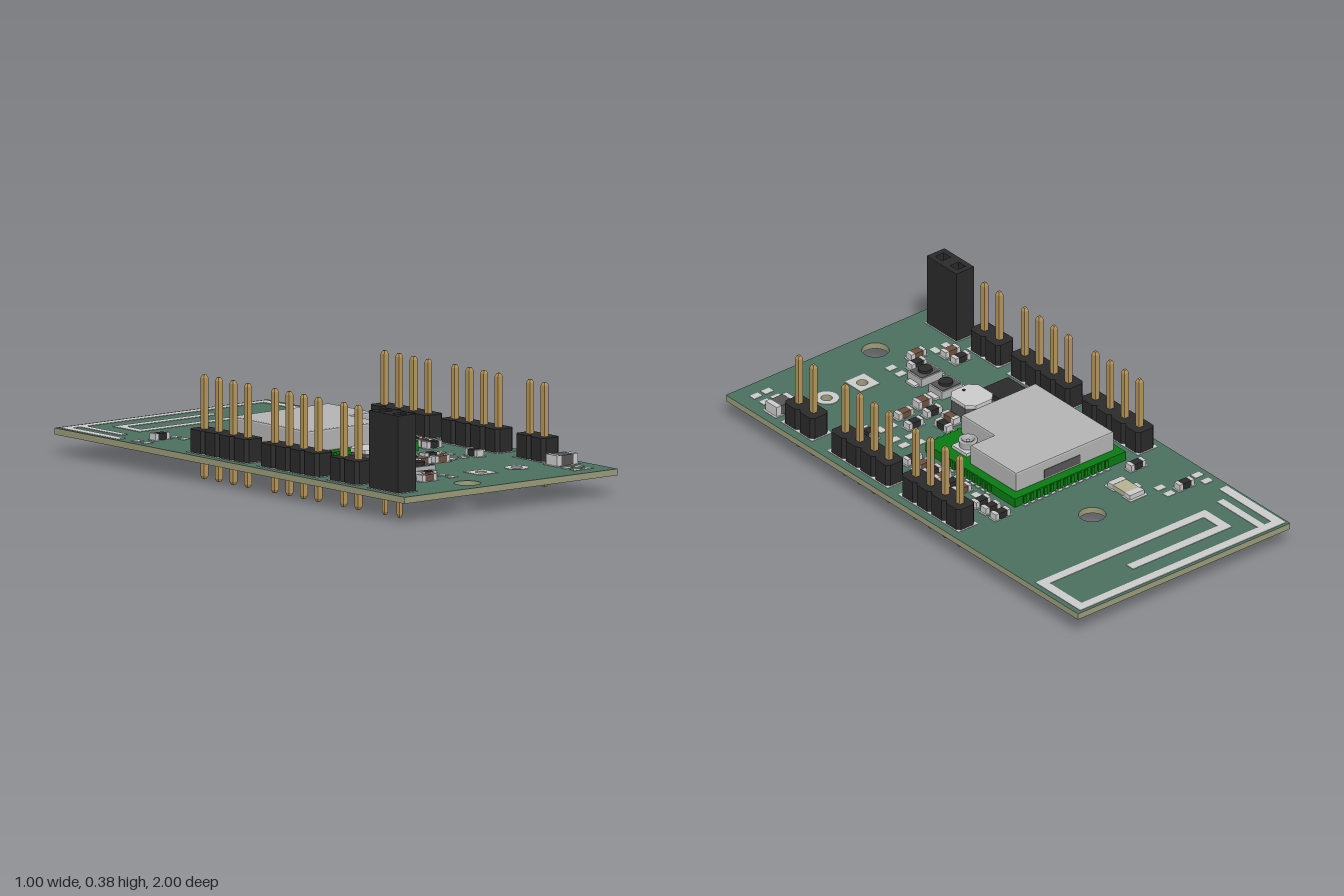
import * as THREE from 'three';

const mat = (color) => new THREE.MeshStandardMaterial({ color });
const M = {
  mask: mat(0x4a7060), core: mat(0x9c9c7a), metal: mat(0xcccccc), silver: mat(0xb4b4b4), black: mat(0x2a2a2a),
  dark: mat(0x151515), grey: mat(0x555555), gold: mat(0xb8975a), green: mat(0x0a7a12), brown: mat(0x6b5040), beige: mat(0xb5b293),
};
const BOT = 0.08, TOP = 0.104;

export function createModel() {
  const root = new THREE.Group();
  const add = (parent, name, geo, m, x = 0, y = 0, z = 0) => {
    const mesh = new THREE.Mesh(geo, m);
    mesh.name = name;
    mesh.position.set(x, y, z);
    parent.add(mesh);
    return mesh;
  };
  const group = (name, x = 0, z = 0, parent = root) => {
    const g = new THREE.Group();
    g.name = name;
    g.position.set(x, 0, z);
    parent.add(g);
    return g;
  };
  // Box standing on height y0
  const box = (parent, name, m, x, z, w, d, y0, y1) =>
    add(parent, name, new THREE.BoxGeometry(w, y1 - y0, d), m, x, (y0 + y1) / 2, z);
  const disc = (parent, name, m, x, z, r, y0, y1, n = 24) =>
    add(parent, name, new THREE.CylinderGeometry(r, r, y1 - y0, n), m, x, (y0 + y1) / 2, z);
  // Outline from x,z corners, and its upright extrusion
  const outline = (pts) => new THREE.Shape(pts.map(([x, z]) => new THREE.Vector2(x, -z)));
  const rect = (w, d, c = 0) => outline(c
    ? [[-w / 2 + c, d / 2], [w / 2 - c, d / 2], [w / 2, d / 2 - c], [w / 2, c - d / 2],
      [w / 2 - c, -d / 2], [c - w / 2, -d / 2], [-w / 2, c - d / 2], [-w / 2, d / 2 - c]]
    : [[-w / 2, d / 2], [w / 2, d / 2], [w / 2, -d / 2], [-w / 2, -d / 2]]);
  const hole = (shape, x, z, r) => shape.holes.push(new THREE.Path().absarc(x, -z, r, 0, Math.PI * 2, true));
  const slab = (parent, name, shape, m, y0, y1, x = 0, z = 0, bevel = 0) => {
    const geo = new THREE.ExtrudeGeometry(shape, {
      depth: y1 - y0 - 2 * bevel, curveSegments: 16, bevelEnabled: bevel > 0,
      bevelSize: bevel, bevelThickness: bevel, bevelOffset: -bevel, bevelSegments: 2,
    });
    geo.translate(0, 0, bevel).rotateX(-Math.PI / 2);
    return add(parent, name, geo, m, x, y0, z);
  };

  // Circuit board with mounting and wire holes
  const board = rect(1, 2);
  [[0.013, -0.495, 0.05], [-0.12, 0.897, 0.05], [0.065, 0.749, 0.021], [0.233, 0.749, 0.021]]
    .forEach((h) => hole(board, ...h));
  slab(root, 'circuitBoard', board, [M.mask, M.core], BOT, TOP);

  // Wire pads, one square and one round, on both faces
  const squarePad = rect(0.09, 0.09), roundPad = new THREE.Shape().absarc(0, 0, 0.045, 0, Math.PI * 2);
  [[squarePad, 0.065], [roundPad, 0.233]].forEach(([s, x]) => {
    hole(s, 0, 0, 0.021);
    slab(root, 'wirePadTop', s, M.metal, TOP, TOP + 0.002, x, 0.749);
    slab(root, 'wirePadBottom', s, M.metal, BOT - 0.002, BOT, x, 0.749);
  });

  // Folded antenna trace: x0, x1, z0, z1
  const antenna = group('antennaTrace');
  [[-0.489, -0.452, -0.95, -0.653], [-0.489, 0.479, -0.987, -0.95], [0.442, 0.479, -0.95, -0.77],
    [-0.32, 0.479, -0.77, -0.733], [-0.32, -0.283, -0.849, -0.77], [-0.32, 0.146, -0.886, -0.849],
    [-0.42, -0.389, -0.95, -0.717]].forEach(([a, b, c, d]) =>
    box(antenna, 'antennaSegment', M.metal, (a + b) / 2, (c + d) / 2, b - a, d - c, TOP, TOP + 0.002));

  // Pin headers
  const pin = (parent, z, y0, y1, r = 0.0145) => {
    const tip = 0.012;
    const pts = [[0, y0], [r * 0.5, y0], [r, y0 + tip], [r, y1 - tip], [r * 0.5, y1], [0, y1]];
    const geo = new THREE.LatheGeometry(pts.map((p) => new THREE.Vector2(...p)), 4, Math.PI / 4).toNonIndexed();
    geo.computeVertexNormals();
    add(parent, 'pin', geo, M.gold, 0, 0, z);
    disc(parent, 'solderPad', M.metal, 0, z, 0.026, BOT - 0.002, BOT, 16);
  };
  const PITCH = 0.083;
  const header = (x, z, n) => {
    const g = group('pinHeader', x, z);
    box(g, 'headerOutline', M.metal, 0, 0, 0.093, n * PITCH + 0.012, TOP, TOP + 0.0015);
    for (let i = 0; i < n; i++) {
      const pz = (i - (n - 1) / 2) * PITCH;
      slab(g, 'headerBlock', rect(PITCH, PITCH, 0.013), M.black, TOP, 0.191, 0, pz);
      pin(g, pz, 0.006, 0.39);
    }
  };
  for (const x of [-0.425, 0.421]) {
    header(x, -0.11, 4);
    header(x, 0.292, 4);
  }
  header(-0.425, 0.603, 2);
  header(0.421, 0.638, 2);

  // Tall two-way socket with square openings
  const socket = group('socket', -0.425, 0.839);
  const shell = rect(0.083, 0.168);
  for (const z of [-0.042, 0.042]) {
    const s = 0.02;
    shell.holes.push(new THREE.Path([[-s, z - s], [s, z - s], [s, z + s], [-s, z + s]]
      .map(([a, b]) => new THREE.Vector2(a, b))));
    pin(socket, z, 0.006, 0.2, 0.011);
  }
  slab(socket, 'socketShell', shell, M.black, 0.2, 0.389);
  box(socket, 'socketBase', M.black, 0, 0, 0.083, 0.168, TOP, 0.2);
  box(socket, 'socketOutline', M.metal, 0, 0, 0.093, 0.178, TOP, TOP + 0.0015);

  // Radio module: carrier, edge pads, shield and antenna connector
  const radio = group('radioModule');
  box(radio, 'carrier', M.green, -0.063, -0.024, 0.523, 0.508, TOP, 0.14);
  const edgePads = (n, x, z, dx, dz) => {
    for (let i = 0; i < n; i++) {
      const px = x + i * dx, pz = z + i * dz;
      box(radio, 'edgePad', M.metal, px, pz, dx ? 0.02 : 0.026, dz ? 0.02 : 0.026, TOP, TOP + 0.003);
      box(radio, 'edgeContact', M.green, px, pz, dx ? 0.014 : 0.006, dz ? 0.014 : 0.006, TOP, 0.139);
    }
  };
  edgePads(13, -0.23, -0.282, 0.032, 0);
  edgePads(3, -0.23, 0.234, 0.032, 0);
  edgePads(5, 0.005, 0.234, 0.032, 0);
  edgePads(5, -0.329, -0.01, 0, 0.027);
  edgePads(9, 0.202, -0.138, 0, 0.029);
  const can = outline([[-0.294, 0.198], [0.055, 0.198], [0.055, 0.013], [0.167, 0.013], [0.167, -0.246], [-0.294, -0.246]]);
  slab(radio, 'shield', can, M.silver, 0.14, 0.222, 0, 0, 0.007);
  box(radio, 'shieldSlot', M.grey, -0.05, -0.2465, 0.17, 0.003, 0.15, 0.185);
  const coax = group('coaxConnector', 0.103, 0.103, radio);
  box(coax, 'coaxBase', M.metal, 0, 0, 0.084, 0.084, 0.14, 0.153);
  const ring = [[0.022, 0.153], [0.022, 0.183], [0.034, 0.183], [0.037, 0.179], [0.032, 0.17], [0.032, 0.153]];
  add(coax, 'coaxRing', new THREE.LatheGeometry(ring.reverse().map((p) => new THREE.Vector2(...p)), 32),
    new THREE.MeshStandardMaterial({ color: 0xb4b4b4, side: THREE.DoubleSide }));
  disc(coax, 'coaxCentre', M.metal, 0, 0, 0.008, 0.153, 0.176, 12);

  // Controller chip with leads on four sides
  const chip = group('controllerChip', -0.278, 0.347);
  box(chip, 'chipBody', M.black, 0, 0, 0.122, 0.122, TOP, 0.132);
  for (let i = 0; i < 5; i++) {
    const t = (i - 2) * 0.024;
    box(chip, 'chipLead', M.metal, t, 0, 0.012, 0.142, TOP, TOP + 0.004);
    box(chip, 'chipLead', M.metal, 0, t, 0.142, 0.012, TOP, TOP + 0.004);
  }

  // Power inductor
  const coil = group('inductor', -0.122, 0.352);
  slab(coil, 'inductorBase', rect(0.13, 0.13, 0.025), M.grey, TOP, 0.15);
  slab(coil, 'inductorTop', rect(0.132, 0.138, 0.028), M.metal, 0.15, 0.166, 0, 0, 0.003);
  disc(coil, 'inductorMark', M.black, 0, 0.045, 0.007, 0.166, 0.167, 12);

  // Push buttons
  for (const z of [0.51, 0.627]) {
    const b = group('pushButton', -0.13, z);
    box(b, 'buttonBody', M.silver, 0, 0, 0.1, 0.078, TOP, 0.137);
    box(b, 'buttonFrame', M.grey, 0, 0, 0.088, 0.068, 0.137, 0.139);
    disc(b, 'buttonCap', M.black, 0, 0, 0.026, 0.139, 0.15);
    for (const s of [-1, 1]) box(b, 'buttonTab', M.metal, s * 0.06, 0, 0.024, 0.05, TOP, 0.112);
  }

  // Two-terminal chips; no body material leaves bare pads
  const passive = (x, z, body, upright = false, l = 0.074, w = 0.036, h = 0.026) => {
    const g = group(body ? 'chipPart' : 'barePads', x, z);
    if (upright) g.rotation.y = Math.PI / 2;
    for (const s of [-1, 1]) {
      box(g, 'solderLand', M.metal, s * l * 0.36, 0, l * 0.38, w * 1.06, TOP, TOP + 0.002);
      if (body) box(g, 'terminal', M.metal, s * l * 0.37, 0, l * 0.2, w * 0.9, TOP, TOP + h);
    }
    if (body) box(g, 'partBody', body, 0, 0, l * 0.54, w * 0.86, TOP, TOP + h - 0.001);
  };
  // Column beside the radio module
  [M.black, M.black, M.black, null, M.brown, M.black, M.brown, M.black, M.brown, M.black]
    .forEach((m, i) => passive(0.278, -0.292 + i * 0.0556, m));
  // Scattered parts laid along x
  [[-0.368, -0.558, M.black], [-0.32, -0.341, M.black], [0.008, 0.421, M.black], [0.114, 0.397, M.black],
    [0.098, 0.474, M.brown], [0.199, 0.452, null], [-0.31, 0.643, M.black], [-0.31, 0.701, M.brown],
    [-0.31, 0.754, null], [-0.204, 0.767, M.brown], [-0.161, 0.712, M.black]].forEach((p) => passive(...p));
  // Scattered parts laid along z
  [[-0.455, -0.553, null], [-0.294, -0.535, null], [-0.013, 0.341, M.brown], [0.04, 0.317, M.black],
    [0.172, 0.32, null], [0.23, 0.34, null], [0.283, 0.447, M.black], [-0.082, 0.735, null],
    [0.368, 0.897, null], [0.421, 0.897, null]].forEach((p) => passive(...p, true));
  // Larger parts: storage capacitor, diode and light
  passive(0.408, 0.794, M.grey, false, 0.105, 0.07, 0.04);
  passive(-0.002, 0.49, M.brown, false, 0.066, 0.045, 0.03);
  passive(-0.188, -0.443, M.beige, true, 0.135, 0.075, 0.02);
  box(root, 'lightTab', M.metal, -0.238, -0.443, 0.028, 0.034, TOP, TOP + 0.003);

  return root;
}
